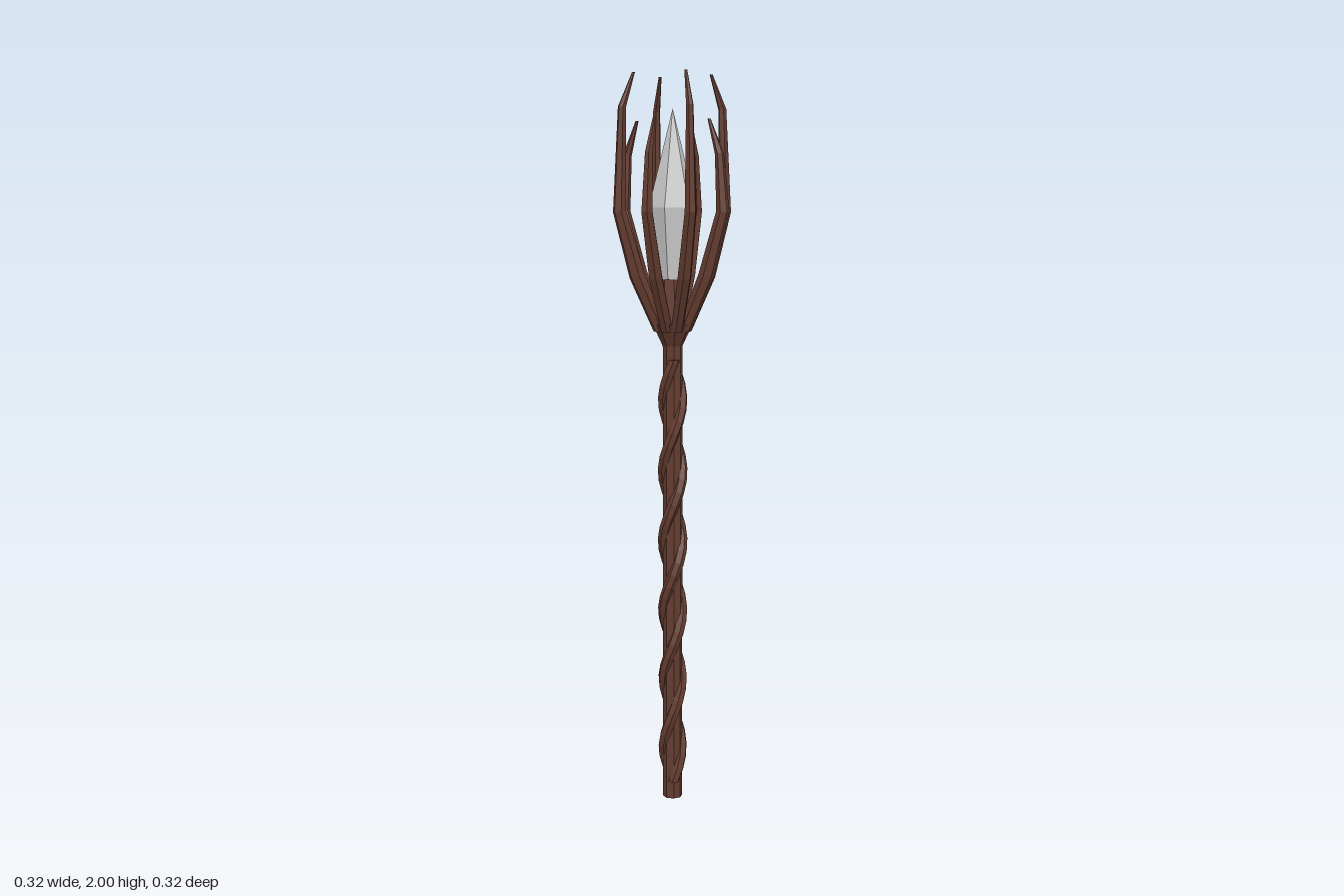
import * as THREE from 'three';

const wood = new THREE.MeshStandardMaterial({ color: 0x643c30, flatShading: true });
const stone = new THREE.MeshStandardMaterial({ color: 0xcccccc, flatShading: true });

function add(parent, name, geometry, material) {
  const mesh = new THREE.Mesh(geometry, material);
  mesh.name = name;
  parent.add(mesh);
  return mesh;
}

// Faceted cylinder between two heights
function frustum(r0, r1, y0, y1, sides) {
  return new THREE.CylinderGeometry(r1, r0, y1 - y0, sides).translate(0, (y0 + y1) / 2, 0);
}

// Hexagonal sweep in the x-y plane; each row is [x, y, half depth, half width]
function prongGeometry(rows) {
  const sides = 6, pos = [], idx = [], last = rows.length - 1;
  rows.forEach(([x, y, d, w], j) => {
    const a = rows[Math.max(j - 1, 0)], b = rows[Math.min(j + 1, last)];
    const t = new THREE.Vector2(b[0] - a[0], b[1] - a[1]).normalize();
    for (let i = 0; i < sides; i++) {
      const ang = ((i + 0.5) / sides) * Math.PI * 2;
      const n = Math.cos(ang) * d;
      // tip and root rings stay level
      const level = j === 0 || j === last;
      pos.push(x + (level ? 1 : t.y) * n, y - (level ? 0 : t.x) * n, Math.sin(ang) * w);
    }
  });
  for (let j = 0; j < last; j++) {
    for (let i = 0; i < sides; i++) {
      const a = j * sides + i, b = j * sides + ((i + 1) % sides);
      idx.push(a, a + sides, b, b, a + sides, b + sides);
    }
  }
  for (let i = 1; i < sides - 1; i++) {
    const o = last * sides;
    idx.push(0, i, i + 1, o, o + i + 1, o + i);
  }
  const g = new THREE.BufferGeometry();
  g.setAttribute('position', new THREE.Float32BufferAttribute(pos, 3));
  g.setIndex(idx);
  g.computeVertexNormals();
  return g;
}

// Closed-end vine winding round the shaft
function vineGeometry(phase) {
  const y0 = 0.055, y1 = 1.24, turns = 3, steps = 36, pts = [];
  for (let i = 0; i <= steps; i++) {
    const t = i / steps, a = phase - t * turns * Math.PI * 2;
    pts.push(new THREE.Vector3(0.025 * Math.cos(a), y0 + t * (y1 - y0), 0.025 * Math.sin(a)));
  }
  return new THREE.TubeGeometry(new THREE.CatmullRomCurve3(pts), steps, 0.016, 6);
}

export function createModel() {
  const model = new THREE.Group();
  model.name = 'staff';

  // Shaft, flared collar and the seat under the crystal
  add(model, 'shaft', frustum(0.027, 0.027, 0, 1.3, 8), wood);
  add(model, 'collar', frustum(0.027, 0.055, 1.28, 1.34, 8), wood);
  add(model, 'crystalSeat', frustum(0.045, 0.034, 1.34, 1.46, 8), wood);

  // Two intertwined vines with end caps
  const vines = new THREE.Group();
  vines.name = 'vines';
  model.add(vines);
  for (let k = 0; k < 2; k++) {
    const phase = -Math.PI / 4 + k * Math.PI;
    add(vines, 'vine', vineGeometry(phase), wood);
    for (const y of [0.055, 1.24]) {
      const cap = add(vines, 'vineEnd', frustum(0.015, 0.015, y - 0.004, y + 0.004, 6), wood);
      cap.position.set(0.025 * Math.cos(phase), 0, 0.025 * Math.sin(phase));
    }
  }

  // Crown of eight claws, alternating short and tall
  const claws = new THREE.Group();
  claws.name = 'claws';
  model.add(claws);
  const base = [
    [0.034, 1.32, 0.02, 0.017],
    [0.1, 1.47, 0.022, 0.019],
    [0.148, 1.64, 0.018, 0.016],
  ];
  const short = prongGeometry([...base, [0.137, 1.79, 0.012, 0.011], [0.107, 1.88, 0.004, 0.004]]);
  const tall = prongGeometry([...base, [0.14, 1.91, 0.011, 0.01], [0.108, 2.0, 0.004, 0.004]]);
  for (let k = 0; k < 8; k++) {
    const isTall = k % 2 === 1;
    const claw = add(claws, isTall ? 'tallClaw' : 'shortClaw', isTall ? tall : short, wood);
    claw.rotation.y = THREE.MathUtils.degToRad(11.5 - 45 * k);
  }

  // Six-sided crystal
  const profile = [[0, 1.46], [0.038, 1.46], [0.065, 1.65], [0, 1.91]];
  const crystal = add(model, 'crystal',
    new THREE.LatheGeometry(profile.map(([x, y]) => new THREE.Vector2(x, y)), 6), stone);
  crystal.rotation.y = THREE.MathUtils.degToRad(-11);

  return model;
}
